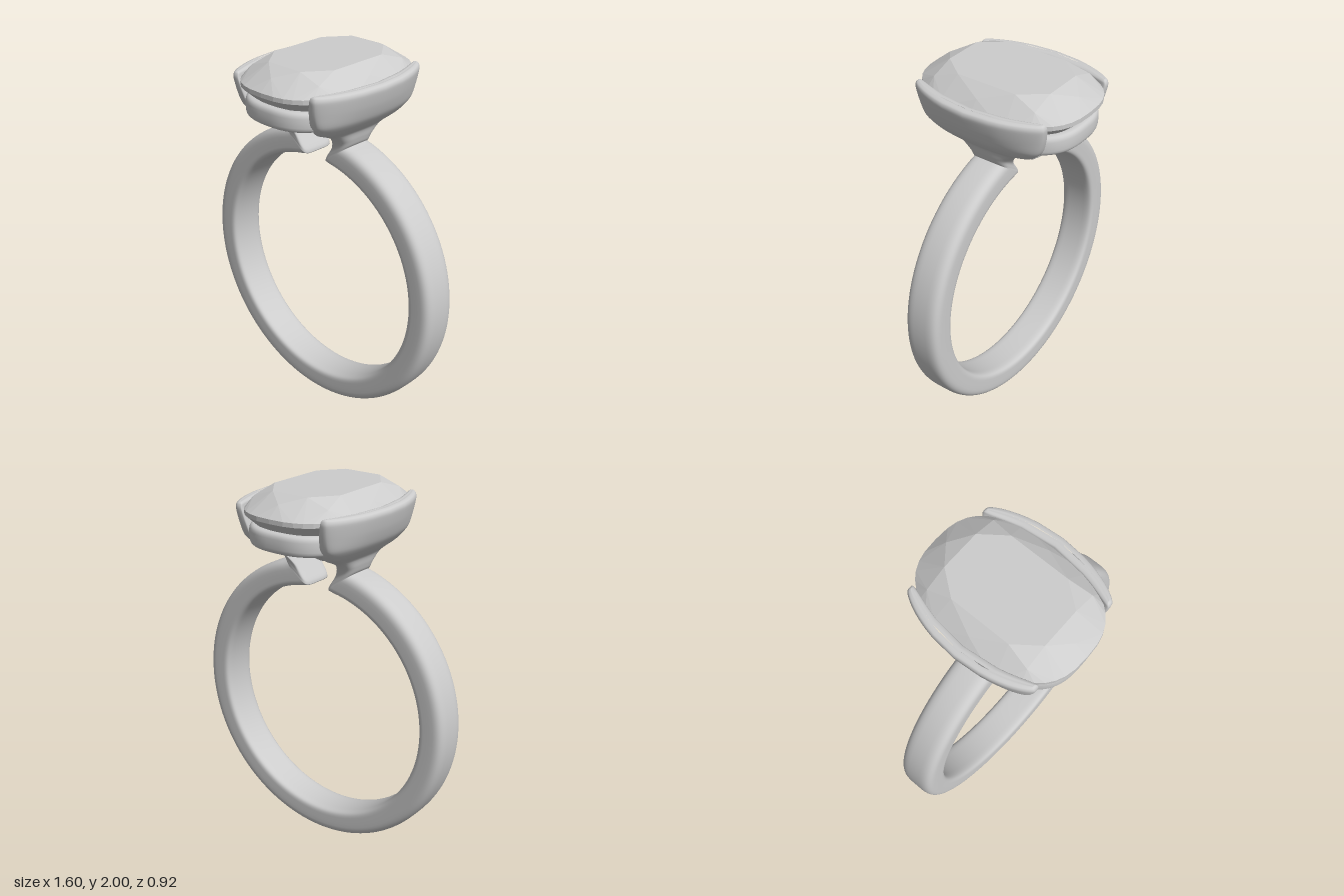
import * as THREE from 'three';
import { ConvexGeometry } from 'three/addons/geometries/ConvexGeometry.js';

const spow = (v, p) => Math.sign(v) * Math.abs(v) ** p;

// Skins a list of closed cross-sections (arrays of [x, y, z])
function loft(rows, closed) {
  const n = rows[0].length, index = [];
  const count = closed ? rows.length : rows.length - 1;
  for (let i = 0; i < count; i++) {
    const k = (i + 1) % rows.length;
    for (let j = 0; j < n; j++) {
      const m = (j + 1) % n;
      const a = i * n + j, b = i * n + m, c = k * n + j, d = k * n + m;
      index.push(a, b, c, b, d, c);
    }
  }
  const geo = new THREE.BufferGeometry();
  geo.setAttribute('position', new THREE.Float32BufferAttribute(rows.flat(2), 3));
  geo.setIndex(index);
  geo.computeVertexNormals();
  return geo;
}

// Rounded cross-section between an inner and an outer point, bowed by c at its ends
function bandSection([xi, yi, xo, yo, w, c], side) {
  const pts = [], n = 48;
  for (let j = 0; j < n; j++) {
    const a = (j / n) * Math.PI * 2, cos = Math.cos(a);
    const u = spow(cos, cos > 0 ? 0.6 : 0.35), v = spow(Math.sin(a), cos > 0 ? 0.5 : 0.35);
    const t = 0.5 + 0.5 * u;
    pts.push([side * (xi + (xo - xi) * t - c * v * v), yi + (yo - yi) * t, w * v]);
  }
  return pts;
}

// Shank: open band whose two ends flare up into curved cheeks
function shankGeometry() {
  // inner x, inner y, outer x, outer y, half width, bow
  const keys = [
    [0.065, 1.455, 0.215, 1.57, 0.103, 0],
    [0.072, 1.48, 0.225, 1.585, 0.103, 0],
    [0.12, 1.55, 0.235, 1.615, 0.11, 0],
    [0.175, 1.63, 0.25, 1.66, 0.165, 0.01],
    [0.215, 1.69, 0.3, 1.705, 0.285, 0.03],
    [0.25, 1.75, 0.345, 1.76, 0.345, 0.05],
    [0.29, 1.83, 0.375, 1.83, 0.372, 0.075],
    [0.32, 1.9, 0.393, 1.9, 0.385, 0.088],
    [0.328, 1.924, 0.388, 1.924, 0.38, 0.088],
    [0.345, 1.932, 0.372, 1.932, 0.37, 0.088],
    [0.36, 1.932, 0.36, 1.932, 0.365, 0.088],
  ];
  const inner = new THREE.CatmullRomCurve3(keys.map(k => new THREE.Vector3(k[0], k[1], k[4])), false, 'catmullrom', 0.4);
  const outer = new THREE.CatmullRomCurve3(keys.map(k => new THREE.Vector3(k[2], k[3], k[5])), false, 'catmullrom', 0.4);
  const steps = 50, cheek = [];
  for (let i = 0; i <= steps; i++) {
    const a = inner.getPoint(i / steps), b = outer.getPoint(i / steps);
    cheek.push([a.x, a.y, b.x, b.y, a.z, b.z]);
  }
  const rows = [...cheek].reverse().map(k => bandSection(k, 1));
  // band, from the left end around the bottom to the right end
  const segs = 120, deg = Math.PI / 180;
  for (let i = 1; i < segs; i++) {
    const f = i / segs;
    const ti = (5.7 + f * 348.6) * deg, to = (15.8 + f * 328.4) * deg;
    rows.push(bandSection([0.655 * Math.sin(ti), 0.8 + 0.655 * Math.cos(ti),
      0.8 * Math.sin(to), 0.8 + 0.8 * Math.cos(to), 0.103, 0], 1));
  }
  cheek.forEach(k => rows.push(bandSection(k, -1)));
  return loft(rows, false);
}

// Point on the cushion-shaped outline
const cushion = (t, a, b) => [a * spow(Math.cos(t), 0.74), b * spow(Math.sin(t), 0.74)];

// Rail: rounded cushion-shaped hoop under the stone
function railGeometry() {
  const rows = [], n = 96, m = 24;
  for (let i = 0; i < n; i++) {
    const t = (i / n) * Math.PI * 2, row = [];
    for (let j = 0; j < m; j++) {
      const a = (j / m) * Math.PI * 2, u = 0.034 * spow(Math.cos(a), 0.7);
      const [x, z] = cushion(t, 0.272 + u, 0.405 + u);
      row.push([x, 1.78 + 0.053 * spow(Math.sin(a), 0.6), z]);
    }
    rows.push(row);
  }
  return loft(rows, true);
}

// Stone: faceted hull of table, crown, girdle, pavilion and culet
function stoneGeometry() {
  const pts = [];
  const add = (x, y, z) => pts.push(new THREE.Vector3(x, y, z));
  for (const sx of [-1, 1]) {
    for (const sz of [-1, 1]) {
      add(sx * 0.11, 2, sz * 0.3);
      add(sx * 0.21, 2, sz * 0.17);
      add(sx * 0.235, 1.958, sz * 0.3);
    }
    add(sx * 0.285, 1.952, 0);
    add(0, 1.965, sx * 0.39);
  }
  const ring = (n, a, b, y) => {
    for (let i = 0; i < n; i++) {
      const [x, z] = cushion((i / n) * Math.PI * 2, a, b);
      add(x, y, z);
    }
  };
  ring(40, 0.325, 0.46, 1.908);
  ring(40, 0.325, 0.46, 1.885);
  ring(16, 0.2, 0.3, 1.74);
  ring(8, 0.045, 0.06, 1.6);
  return new ConvexGeometry(pts);
}

export function createModel() {
  const silver = new THREE.MeshStandardMaterial({ color: 0xcccccc });
  silver.name = 'silver';
  const group = new THREE.Group();
  group.name = 'ring';
  const parts = { shank: shankGeometry(), rail: railGeometry(), stone: stoneGeometry() };
  for (const [name, geometry] of Object.entries(parts)) {
    const mesh = new THREE.Mesh(geometry, silver);
    mesh.name = name;
    group.add(mesh);
  }
  return group;
}
